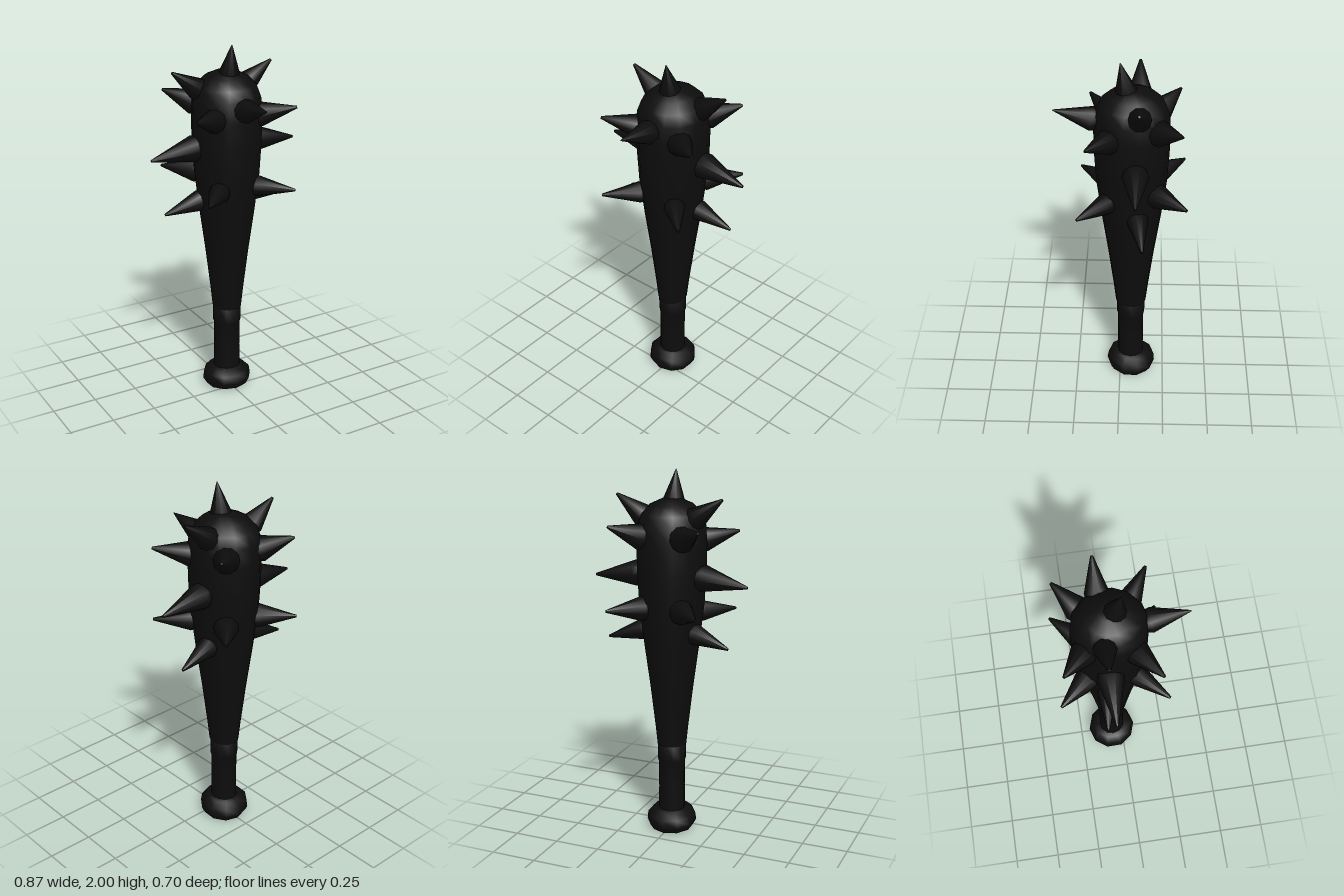
import * as THREE from 'three';
import { toCreasedNormals } from 'three/addons/utils/BufferGeometryUtils.js';

const AXIS_Z = -0.06; // the club's axis sits a little behind centre
const material = new THREE.MeshStandardMaterial({ color: 0x0d0d0d });

// Profile pairs are [radius, height], listed from bottom to top
function turned(name, profile, sides, crease = 0.9) {
  const points = profile.map(([r, y]) => new THREE.Vector2(r, y));
  const geometry = toCreasedNormals(new THREE.LatheGeometry(points, sides), crease);
  const mesh = new THREE.Mesh(geometry, material);
  mesh.name = name;
  return mesh;
}

// A cone with a rounded-under foot, pointing from base to tip
function spike(name, base, tip, radius, blunt) {
  const from = new THREE.Vector3(...base);
  const dir = new THREE.Vector3(...tip).sub(from);
  const length = dir.length();
  const mesh = turned(name, [
    [0, -0.05], [radius * 0.8, -0.05], [radius, 0], [blunt, length], [0, length],
  ], 10);
  mesh.position.copy(from);
  mesh.quaternion.setFromUnitVectors(new THREE.Vector3(0, 1, 0), dir.normalize());
  return mesh;
}

export function createModel() {
  const club = new THREE.Group();
  club.name = 'spikedClub';

  // Tapering head with a domed top
  const head = turned('head', [
    [0, 0.5], [0.08, 0.5], [0.09, 0.6], [0.118, 0.84], [0.15, 1.08],
    [0.176, 1.3], [0.186, 1.48], [0.188, 1.62], [0.182, 1.72],
    [0.16, 1.78], [0.115, 1.825], [0.05, 1.855], [0, 1.858],
  ], 14, 1.2);
  head.scale.z = 1.06;
  head.position.z = AXIS_Z;
  club.add(head);

  // Handle with a slightly thicker collar under the head
  const handle = turned('handle', [
    [0, 0.08], [0.073, 0.08], [0.072, 0.25], [0.073, 0.395],
    [0.078, 0.41], [0.079, 0.495], [0.07, 0.51], [0, 0.51],
  ], 12);
  handle.position.z = AXIS_Z;
  club.add(handle);

  // Tilted pommel
  const pommel = turned('pommel', [
    [0, 0], [0.118, 0], [0.138, 0.035], [0.132, 0.08], [0.1, 0.112], [0, 0.115],
  ], 10);
  pommel.position.set(0, 0.008, AXIS_Z);
  pommel.rotation.x = -0.06;
  club.add(pommel);

  // Spikes on the centre line
  club.add(spike('topSpike', [0, 1.82, -0.035], [0, 2, 0], 0.067, 0.002));
  club.add(spike('frontSpike', [0, 1.685, 0.15], [0, 1.73, 0.345], 0.064, 0.003));

  // Mirrored spikes: name, base, tip, foot radius
  const pairs = [
    ['upperSideSpike', [0.15, 1.765, -0.1], [0.297, 1.868, -0.1], 0.062],
    ['middleSideSpike', [0.19, 1.45, -0.082], [0.435, 1.42, -0.085], 0.072],
    ['lowerSideSpike', [0.15, 1.145, -0.095], [0.345, 1.09, -0.12], 0.058],
    ['upperFrontSpike', [0.14, 1.63, 0.06], [0.297, 1.67, 0.167], 0.066],
    ['lowerFrontSpike', [0.12, 1.235, 0.075], [0.262, 1.23, 0.22], 0.058],
    ['upperBackSpike', [0.12, 1.67, -0.205], [0.25, 1.728, -0.315], 0.07],
    ['lowerBackSpike', [0.115, 1.285, -0.2], [0.25, 1.29, -0.348], 0.067],
  ];
  for (const [name, base, tip, radius] of pairs) {
    for (const [side, s] of [['left', 1], ['right', -1]]) {
      const mirror = ([x, y, z]) => [s * x, y, z];
      const label = side + name[0].toUpperCase() + name.slice(1);
      club.add(spike(label, mirror(base), mirror(tip), radius, 0.007));
    }
  }
  return club;
}
